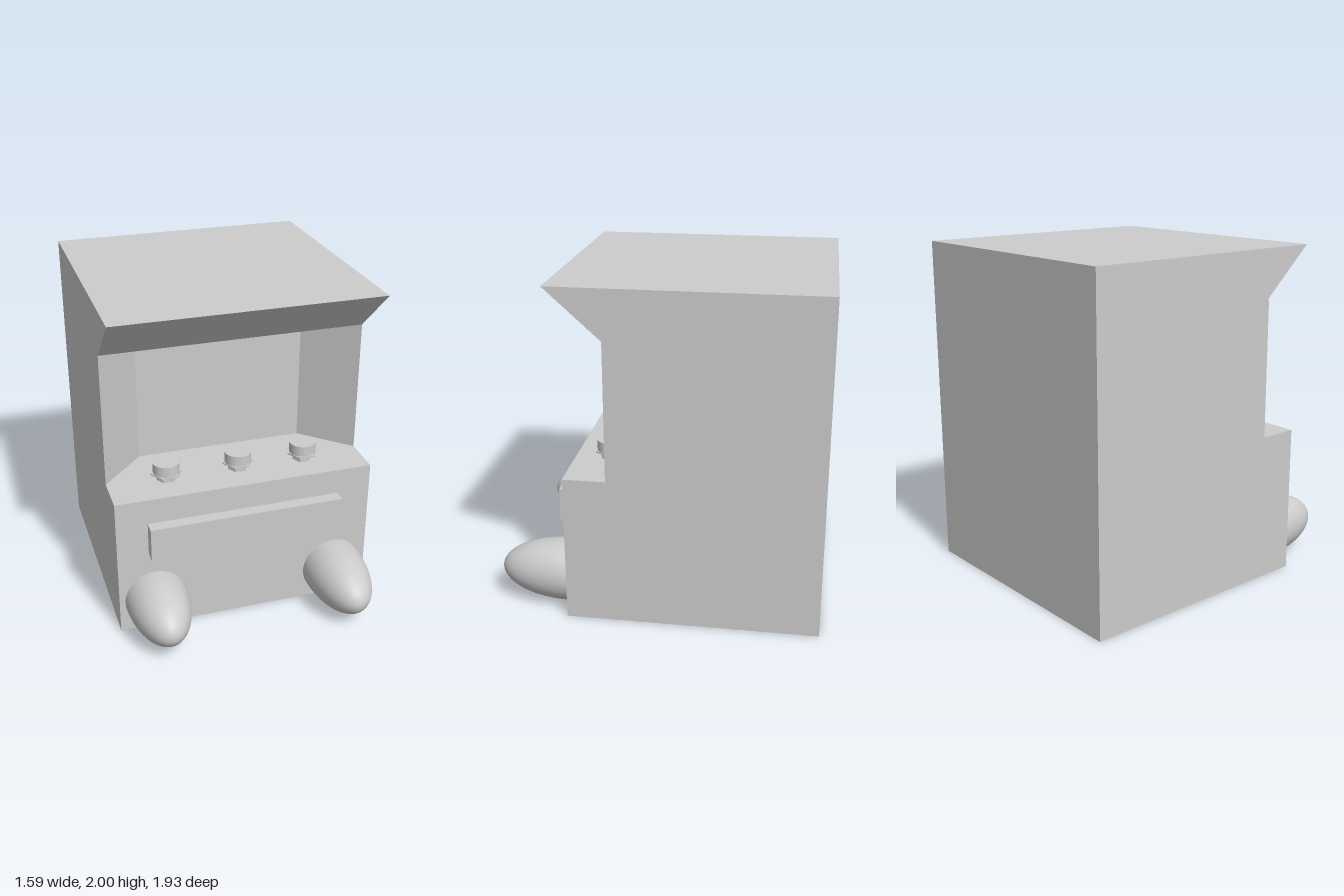
import * as THREE from 'three';

const LEFT = 0.79, RIGHT = -0.795, BACK = -0.965;
const WIDTH = LEFT - RIGHT, MID_X = (LEFT + RIGHT) / 2;
const SHELF_Y = 0.89, HOOD_Y = 1.71;

export function createModel() {
  const model = new THREE.Group();
  model.name = 'arcadeCabinet';
  const grey = new THREE.MeshStandardMaterial({ color: 0xcccccc });
  grey.name = 'plain grey';

  const add = (name, geometry, x = 0, y = 0, z = 0, parent = model) => {
    const mesh = new THREE.Mesh(geometry, grey);
    mesh.name = name;
    mesh.position.set(x, y, z);
    parent.add(mesh);
    return mesh;
  };
  const extrude = (points, depth) => new THREE.ExtrudeGeometry(
    new THREE.Shape(points.map(([x, y]) => new THREE.Vector2(x, y))),
    { depth, bevelEnabled: false });

  // Lower cabinet, its top forming the control shelf
  add('lowerCabinet', new THREE.BoxGeometry(WIDTH, SHELF_Y, 0.52 - BACK),
    MID_X, SHELF_Y / 2, (0.52 + BACK) / 2);

  // Middle section: plan outline with splayed walls around the sunken screen
  const recess = extrude([
    [RIGHT, BACK], [LEFT, BACK], [LEFT, 0.27],
    [0.51, 0], [-0.53, 0], [RIGHT, 0.28],
  ], HOOD_Y - SHELF_Y);
  recess.rotateX(Math.PI / 2);
  add('screenRecess', recess, 0, HOOD_Y, 0);

  // Hood: side profile with the sloping underside at the front
  const hood = extrude([
    [BACK, HOOD_Y], [0.27, HOOD_Y], [0.59, 2], [BACK, 2],
  ], WIDTH);
  hood.rotateY(-Math.PI / 2);
  add('hood', hood, LEFT, 0, 0);

  // Raised front panel
  add('frontPanel', new THREE.BoxGeometry(1.19, 0.205, 0.085), -0.01, 0.6275, 0.5525);

  // Control knobs: hexagonal stem and flange under a round cap
  const hexagon = (radius, height) =>
    new THREE.CylinderGeometry(radius, radius, height, 6).toNonIndexed().rotateY(Math.PI / 6);
  const flatHexagon = (radius, height) => {
    const geometry = hexagon(radius, height);
    geometry.computeVertexNormals();
    return geometry;
  };
  for (const x of [-0.435, 0.01, 0.425]) {
    const knob = new THREE.Group();
    knob.name = 'controlKnob';
    knob.position.set(x, SHELF_Y, 0.31);
    model.add(knob);
    add('knobStem', flatHexagon(0.06, 0.042), 0, 0.02, 0, knob);
    add('knobFlange', flatHexagon(0.095, 0.01), 0, 0.045, 0, knob);
    add('knobCap', new THREE.CylinderGeometry(0.08, 0.08, 0.065, 40), 0, 0.0825, 0, knob);
  }

  // Bullet-shaped feet: a short cylinder running into half an ellipsoid
  const profile = [new THREE.Vector2(0.19, 0)];
  for (let i = 0; i <= 24; i++) {
    const a = (i / 24) * Math.PI / 2;
    profile.push(new THREE.Vector2(0.19 * Math.cos(a), 0.03 + 0.415 * Math.sin(a)));
  }
  profile[profile.length - 1].x = 0;
  const bullet = new THREE.LatheGeometry(profile, 48).rotateX(Math.PI / 2);
  add('leftFoot', bullet, 0.57, 0.197, 0.52);
  add('rightFoot', bullet, -0.57, 0.197, 0.487);

  return model;
}
